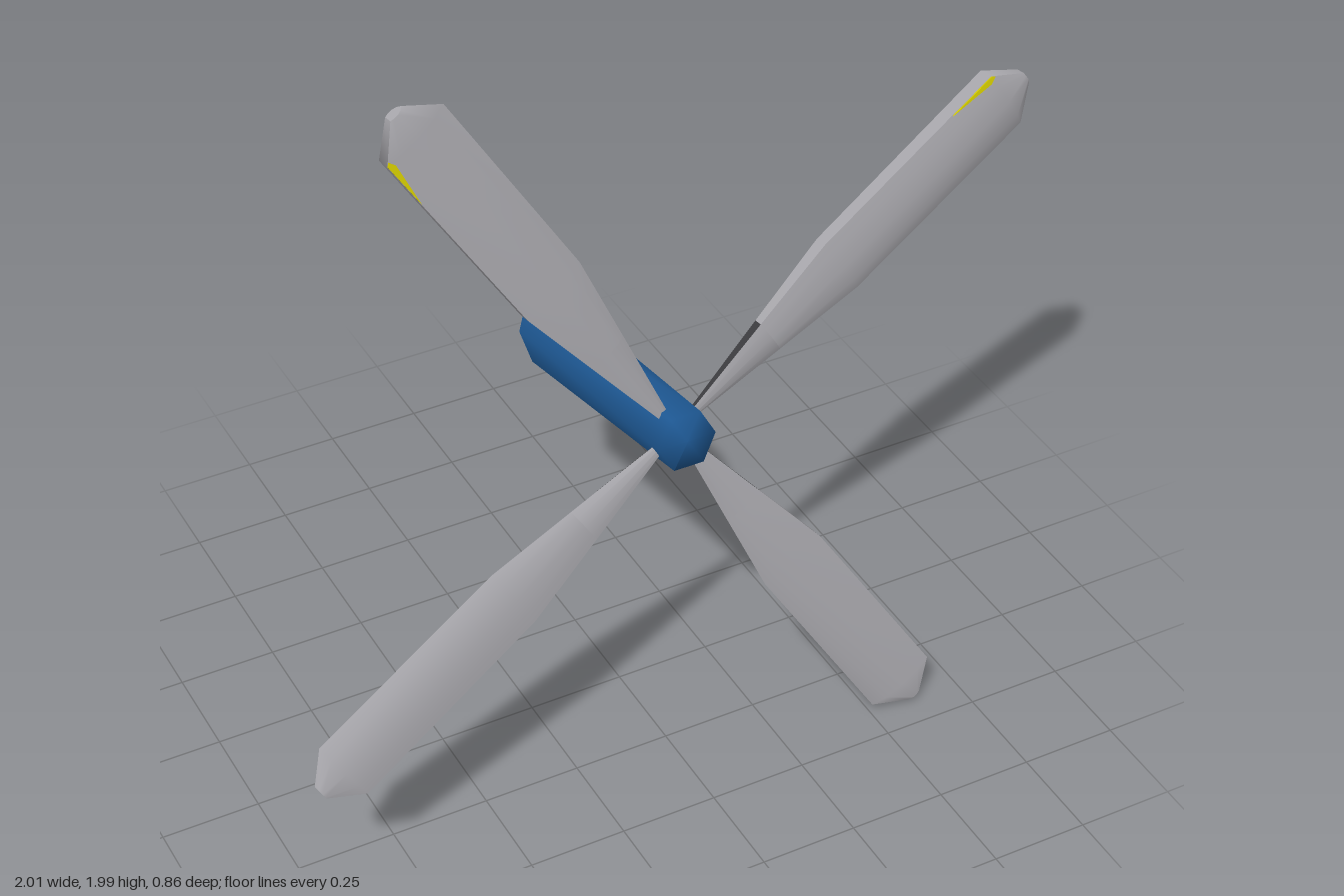
import * as THREE from 'three';

const mat = (name, color, side = THREE.DoubleSide) => {
  const m = new THREE.MeshStandardMaterial({ color, side });
  m.name = name;
  return m;
};

// Skin over a list of cross-sections, each an array of [x, y, z] points
function loft(rows) {
  const n = rows[0].length, index = [];
  for (let i = 0; i < rows.length - 1; i++) {
    for (let j = 0; j < n - 1; j++) {
      const a = i * n + j, b = a + n;
      index.push(a, b, b + 1, a, b + 1, a + 1);
    }
  }
  const g = new THREE.BufferGeometry();
  g.setAttribute('position', new THREE.Float32BufferAttribute(rows.flat(2), 3));
  g.setIndex(index);
  g.computeVertexNormals();
  return g;
}

// Blade stations: radius, half width, half thickness
const ROOT = [[0, 0.004, 0.004], [0.31, 0.052, 0.015]];
const OUTER = [[0.31, 0.052, 0.015], [0.545, 0.088, 0.023], [1.1, 0.091, 0.026], [1.172, 0.02, 0.016]];
// Section points as fractions of half width and half thickness
const FRONT = [[-1, 0], [-0.6, 0.65], [0, 1], [0.6, 0.95], [1, 0.8]];
const EDGE = [[1, 0.8], [1, -0.8]];
const BACK = FRONT.map(([v, t]) => [v, -t]).reverse();

const skin = (stations, section) =>
  loft(stations.map(([r, w, t]) => section.map(([a, b]) => [r, a * w, b * t])));

export function createModel() {
  const model = new THREE.Group();
  model.name = 'propeller';
  const blue = mat('shaftBlue', 0x1f5b98);
  const grey = mat('bladeGrey', 0xaaa9ae);
  const dark = mat('rootDarkGrey', 0x3c3c3f);
  const yellow = mat('markYellow', 0xd8d000);

  const add = (parent, name, geometry, material) => {
    const mesh = new THREE.Mesh(geometry, material);
    mesh.name = name;
    parent.add(mesh);
    return mesh;
  };

  // Tapered six-sided shaft, open at the rear and closed at the front
  const hex = [[-0.52, -1], [-1, 0], [-0.52, 1], [0.52, 1], [1, 0], [0.52, -1], [-0.52, -1]];
  const ring = (cy, hw, hh, z) => hex.map(([a, b]) => [a * hw, cy + b * hh, z - 0.01 * b]);
  add(model, 'shaft', loft([
    ring(0.848, 0.062, 0.097, -0.42),
    ring(1.004, 0.075, 0.067, 0.339),
    hex.map(() => [0, 1.004, 0.342]),
  ]), blue);

  // Four blades on a tilted disc
  const rotor = new THREE.Group();
  rotor.name = 'rotor';
  rotor.position.set(0, 1, 0.285);
  rotor.rotation.set(-0.148, 0.034, 0);
  model.add(rotor);

  const parts = {
    rootFront: [skin(ROOT, FRONT), grey],
    rootEdge: [skin(ROOT, EDGE), dark],
    rootBack: [skin(ROOT, BACK), dark],
    bladeFront: [skin(OUTER, FRONT), grey],
    bladeEdge: [skin(OUTER, EDGE), grey],
    bladeBack: [skin(OUTER, BACK), grey],
  };
  // Flat end of the blade
  const [r, w, t] = OUTER[OUTER.length - 1];
  parts.bladeTip = [loft([
    BACK.map(([a, b]) => [r, a * w, b * t]).reverse(),
    FRONT.map(([a, b]) => [r, a * w, b * t]),
  ]), grey];

  // Narrow painted sliver beside the blunt edge
  const sliver = new THREE.Shape([[0.97, 0.09], [1.09, 0.075], [1.108, 0.083], [1.1, 0.091]]
    .map(([x, y]) => new THREE.Vector2(x, y)));
  const mark = new THREE.ExtrudeGeometry(sliver, { depth: 0.003, bevelEnabled: false });
  mark.translate(0, 0, 0.0215);

  for (let i = 0; i < 4; i++) {
    const blade = new THREE.Group();
    blade.name = `blade${i + 1}`;
    blade.rotation.z = THREE.MathUtils.degToRad(32 + i * 90);
    for (const [name, [geometry, material]] of Object.entries(parts)) add(blade, name, geometry, material);
    if (i < 2) add(blade, 'tipMark', mark, yellow);
    rotor.add(blade);
  }
  return model;
}
